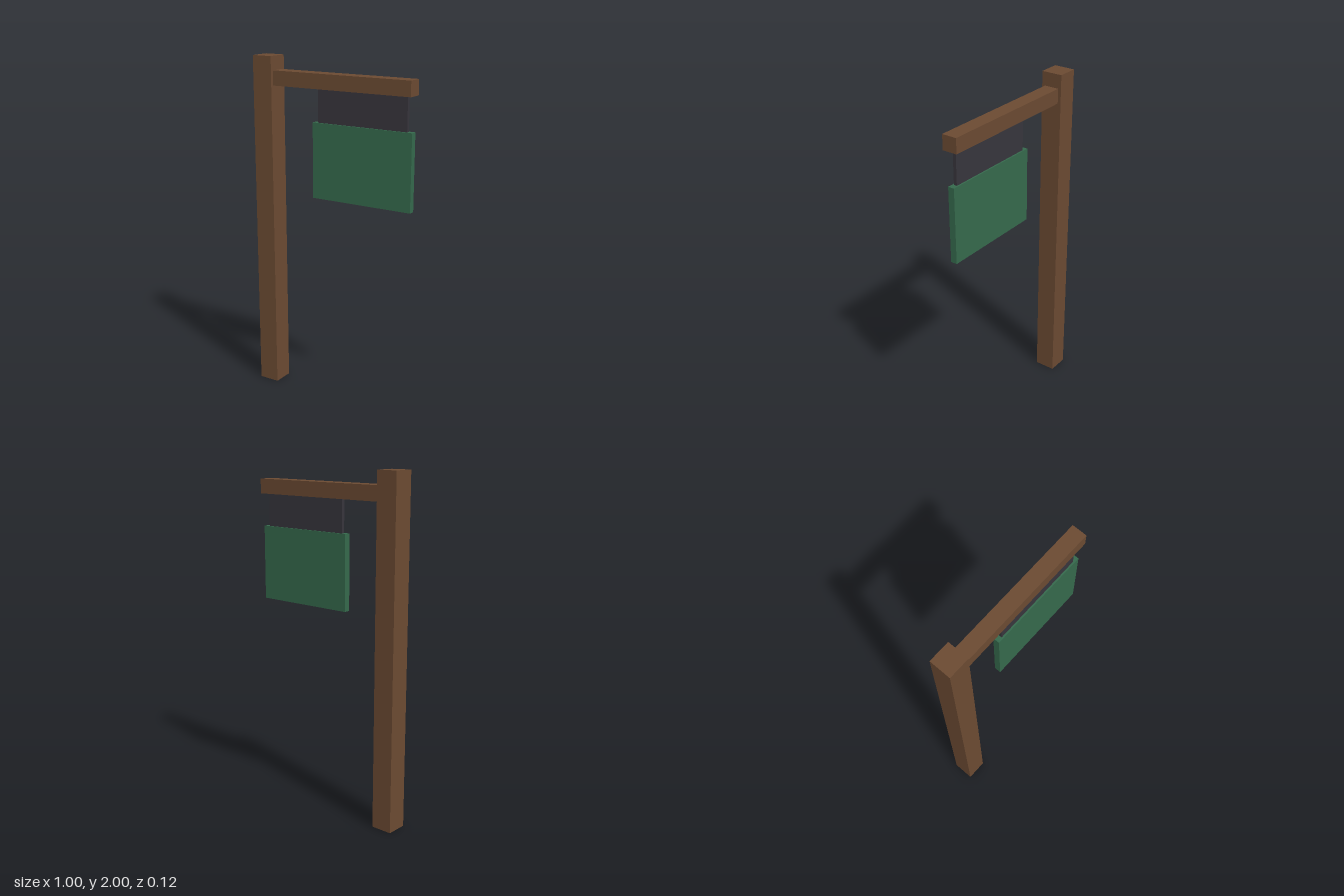
import * as THREE from 'three';

export function createModel() {
  const group = new THREE.Group();
  const material = (name, color) => {
    const m = new THREE.MeshStandardMaterial({ color });
    m.name = name;
    return m;
  };
  const wood = material('brown wood', 0x6b4a32);
  const iron = material('dark iron', 0x37353c);
  const green = material('green paint', 0x35694c);

  // Box given by its x and y extents and its depth, centred on z = 0
  const box = (name, mat, x0, x1, y0, y1, depth) => {
    const mesh = new THREE.Mesh(new THREE.BoxGeometry(x1 - x0, y1 - y0, depth), mat);
    mesh.position.set((x0 + x1) / 2, (y0 + y1) / 2, 0);
    mesh.name = name;
    group.add(mesh);
  };

  box('post', wood, -0.5, -0.375, 0, 2, 0.125);
  box('crossbeam', wood, -0.375, 0.5, 1.835, 1.92, 0.0875);
  box('hanger', iron, -0.094, 0.466, 1.645, 1.835, 0.019);
  box('signBoard', green, -0.125, 0.5, 1.21, 1.645, 0.0375);

  return group;
}
